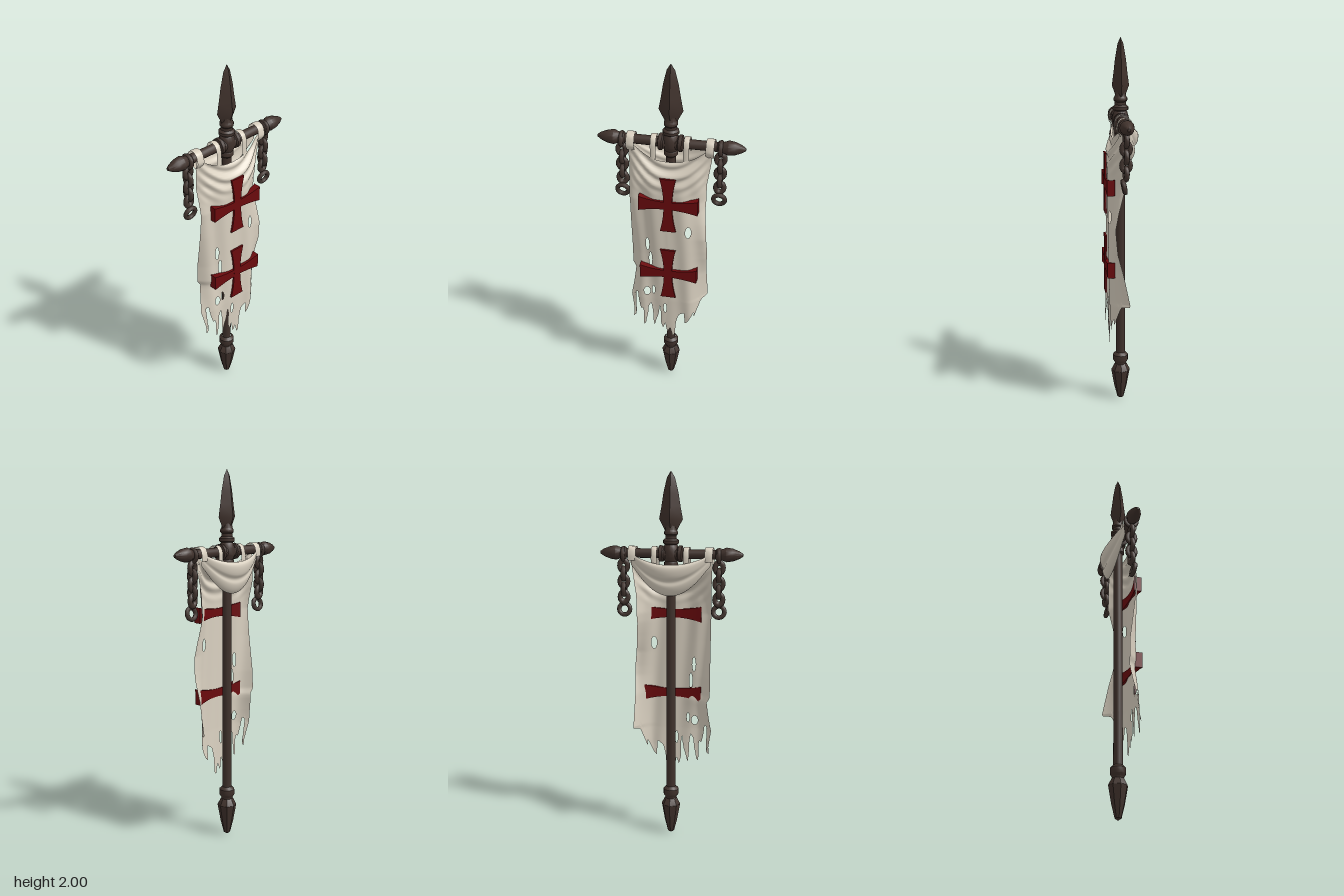
import * as THREE from 'three';
import { toCreasedNormals } from 'three/addons/utils/BufferGeometryUtils.js';

const makeMat = (name, color, side = THREE.FrontSide) => {
  const m = new THREE.MeshStandardMaterial({ color, side });
  m.name = name;
  return m;
};

// Linear lookup in a list of [t, value] pairs sorted by t
const lookup = (table, t) => {
  if (t <= table[0][0]) return table[0][1];
  for (let i = 1; i < table.length; i++) {
    const [a, va] = table[i - 1], [b, vb] = table[i];
    if (t <= b) return va + (vb - va) * (t - a) / (b - a);
  }
  return table[table.length - 1][1];
};

// Smooth sheet over u, v in 0..1; fn returns [x, y, z, cutAway]
function sheet(nu, nv, fn) {
  const pos = [], cut = [], index = [];
  for (let j = 0; j <= nv; j++) for (let i = 0; i <= nu; i++) {
    const [x, y, z, c] = fn(i / nu, j / nv);
    pos.push(x, y, z);
    cut.push(!!c);
  }
  for (let j = 0; j < nv; j++) for (let i = 0; i < nu; i++) {
    const a = j * (nu + 1) + i, b = a + 1, c = a + nu + 1, d = c + 1;
    if (cut[a] && cut[b] && cut[c] && cut[d]) continue;
    index.push(a, c, b, b, c, d);
  }
  const g = new THREE.BufferGeometry();
  g.setAttribute('position', new THREE.Float32BufferAttribute(pos, 3));
  g.setIndex(index);
  g.computeVertexNormals();
  return g;
}

// Turned part from [radius, height] pairs, listed bottom to top
const turned = (pts, sides = 12) => toCreasedNormals(
  new THREE.LatheGeometry(pts.map(p => new THREE.Vector2(...p)), sides), 0.6);

const BAR_Y = 1.575;

// Banner outline: side edges by height, ragged hem across the width
const LEFT = [[0.42, -0.205], [0.5, -0.2], [0.6, -0.217], [0.68, -0.205], [0.77, -0.195], [0.8, -0.212], [1.2, -0.21], [1.58, -0.218]];
const RIGHT = [[0.45, 0.165], [0.6, 0.205], [0.8, 0.2], [0.95, 0.205], [1.2, 0.185], [1.35, 0.188], [1.5, 0.212]];
const HEM = [[-0.2, 0.455], [-0.185, 0.47], [-0.178, 0.62], [-0.165, 0.63], [-0.155, 0.52], [-0.14, 0.53], [-0.132, 0.41],
  [-0.12, 0.42], [-0.108, 0.54], [-0.09, 0.57], [-0.08, 0.47], [-0.068, 0.4], [-0.05, 0.48], [-0.042, 0.57], [-0.03, 0.44],
  [-0.015, 0.39], [0, 0.43], [0.012, 0.36], [0.03, 0.4], [0.045, 0.34], [0.058, 0.35], [0.07, 0.5], [0.1, 0.52],
  [0.12, 0.44], [0.135, 0.45], [0.155, 0.53], [0.162, 0.48], [0.172, 0.6], [0.2, 0.61]];
const HOLES = [[0.105, 1.08, 0.015, 0.034], [-0.117, 0.97, 0.01, 0.04], [-0.1, 0.875, 0.009, 0.045],
  [-0.122, 0.65, 0.018, 0.026], [-0.085, 0.665, 0.008, 0.028], [-0.02, 0.545, 0.008, 0.035]];
// Depth of the middle and of both side edges by height
const MID_Z = [[0.34, 0.06], [0.6, 0.069], [1.36, 0.073], [1.42, 0.064], [1.5, 0.037], [1.58, 0.03]];
const LEFT_Z = [[0.42, 0.075], [0.6, 0.04], [0.75, 0.005], [0.9, 0.005], [1.1, 0.025], [1.25, 0.035], [1.4, 0.01], [1.58, 0.02]];
const RIGHT_Z = [[0.5, 0.01], [0.62, -0.028], [0.78, 0.002], [0.9, 0.03], [1.03, 0.04], [1.12, 0.022], [1.25, -0.013],
  [1.4, 0.0], [1.58, 0.02]];

function bannerPoint(u, v) {
  const s = u * 2 - 1;
  const top = 1.485 + 0.085 * s * s, mid = 0.68, split = 0.7;
  // level rows above, stretched into the ragged hem below
  let y = v < split ? top + (mid - top) * v / split
    : mid + (lookup(HEM, s * 0.2) - mid) * (v - split) / (1 - split);
  let x = lookup(LEFT, y) * (1 - u) + lookup(RIGHT, y) * u;
  let cut = false;
  // points inside a hole move out to its rim
  for (const [hx, hy, rx, ry] of HOLES) {
    const dx = (x - hx) / rx, dy = (y - hy) / ry, d = Math.hypot(dx, dy);
    if (d < 1) {
      cut = true;
      x = hx + rx * dx / (d || 1);
      y = hy + ry * dy / (d || 1);
    }
  }
  // the left side falls back gently, the right side curls near its edge
  const edgeZ = lookup(s < 0 ? LEFT_Z : RIGHT_Z, y), midZ = lookup(MID_Z, y);
  let z = midZ + (edgeZ - midZ) * Math.abs(s) ** (s < 0 ? 3 : 4.5);
  // sagging folds near the top, hanging folds below
  const swag = THREE.MathUtils.smoothstep(y, 1.28, 1.42);
  z += swag * 0.009 * Math.sin((y - 3.2 * x * x) * 95) * (1 - s ** 4);
  z += (1 - swag) * 0.007 * Math.sin(x * 48 + y * 4) * Math.min(1, Math.abs(s) * 1.6);
  return [x, y, z, cut];
}

// Swag behind the pole: its middle section, narrowing to the two corners
const swagCurve = new THREE.CatmullRomCurve3([[1.5, -0.058], [1.525, -0.072], [1.51, -0.09], [1.46, -0.086],
  [1.435, -0.07], [1.41, -0.074], [1.375, -0.062], [1.358, -0.045], [1.39, -0.032]]
  .map(([y, z]) => new THREE.Vector3(0, y, z)));
function swagPoint(u, v) {
  const s = u * 2 - 1, w = 1 - s * s, p = swagCurve.getPoint(v);
  const cornerY = 1.585 - 0.07 * v;
  return [-s * 0.21, cornerY + (p.y - cornerY) * w, -0.03 + 0.01 * v + (p.z + 0.03 - 0.01 * v) * w];
}

// Cloth loop over the crossbar
function strap(x, width, frontZ, low) {
  const pts = [[frontZ, low], [0.04, 1.55], [0.038, BAR_Y], [0.026, 1.602], [0, 1.612],
    [-0.026, 1.602], [-0.038, BAR_Y], [-0.04, 1.55], [-0.04, low + 0.02]];
  const curve = new THREE.CatmullRomCurve3(pts.map(([z, y]) => new THREE.Vector3(0, y, z)));
  return sheet(4, 32, (u, v) => {
    const p = curve.getPoint(v);
    return [x + (u - 0.5) * width, p.y, p.z + Math.sign(p.z) * 0.003 * Math.sin(u * Math.PI)];
  });
}

// Bar along x with flared ends, a flat front and a back that bends away by `bend`
function flaredBar(half, front, back, bend) {
  const g = new THREE.BoxGeometry(2, 2, 2, 14, 1, 1), p = g.attributes.position;
  for (let i = 0; i < p.count; i++) {
    const t = p.getX(i), flare = 0.022 + 0.02 * t * t;
    p.setXYZ(i, t * half, p.getY(i) * flare, p.getZ(i) > 0 ? front : back - bend * t * t);
  }
  return toCreasedNormals(g, 0.6);
}

export function createModel() {
  const model = new THREE.Group();
  model.name = 'hangingBanner';
  const wood = makeMat('dark wood', 0x40322c);
  const iron = makeMat('chain iron', 0x42352f);
  const cloth = makeMat('worn linen', 0xd9d0c0, THREE.DoubleSide);
  const red = makeMat('deep red', 0x6a0a0d);
  const add = (name, geo, mat, parent = model) => {
    const m = new THREE.Mesh(geo, mat);
    m.name = name;
    parent.add(m);
    return m;
  };

  // Pole with its spear head and pointed foot
  add('pole', turned([[0.025, 0.2], [0.025, 1.66]]), wood);
  add('spearHead', turned([[0.024, 1.68], [0.034, 1.7], [0.062, 1.755], [0.05, 1.82], [0.039, 1.89],
    [0.021, 1.965], [0, 2]], 4), wood).scale.z = 0.72;
  add('spearNeck', turned([[0.026, 1.62], [0.042, 1.63], [0.042, 1.645], [0.03, 1.655], [0.03, 1.67],
    [0.036, 1.678], [0.036, 1.69], [0.03, 1.7], [0.026, 1.73]]), wood);
  add('foot', turned([[0, 0], [0.018, 0.012], [0.035, 0.08], [0.052, 0.175], [0.034, 0.21], [0.024, 0.22]], 8), wood);
  add('footCollar', turned([[0.03, 0.19], [0.032, 0.22], [0.042, 0.235], [0.042, 0.265], [0.026, 0.28]]), wood);

  // Crossbar and the joint at its middle
  add('poleJoint', turned([[0.026, 1.5], [0.036, 1.51], [0.036, 1.53], [0.033, 1.535], [0.043, 1.56],
    [0.043, 1.595], [0.035, 1.62], [0.026, 1.63]]), wood);
  const bar = turned([[0.025, -0.25], [0.025, -0.065], [0.043, -0.06], [0.043, -0.042], [0.036, -0.036],
    [0.036, 0.036], [0.043, 0.042], [0.043, 0.06], [0.025, 0.065], [0.025, 0.25]]);
  bar.rotateZ(-Math.PI / 2);
  add('crossbar', bar, wood).position.y = BAR_Y;

  for (const side of [-1, 1]) {
    const label = side > 0 ? 'left' : 'right';
    const tip = turned([[0.024, 0.235], [0.033, 0.243], [0.034, 0.256], [0.028, 0.264], [0.031, 0.275],
      [0.038, 0.292], [0.033, 0.325], [0.02, 0.358], [0.008, 0.377], [0, 0.38]]);
    tip.rotateZ(-side * Math.PI / 2);
    add(label + 'BarTip', tip, wood).position.y = BAR_Y;

    // Chain hanging from the bar, ending in a round ring
    const chain = new THREE.Group();
    chain.name = label + 'Chain';
    chain.position.x = side * 0.254;
    model.add(chain);
    const loop = add('barRing', new THREE.TorusGeometry(0.031, 0.011, 8, 20), iron, chain);
    loop.position.y = BAR_Y - 0.006;
    loop.rotation.y = Math.PI / 2;
    for (let i = 0; i < 5; i++) {
      const link = add('link', new THREE.TorusGeometry(0.021, 0.0135, 8, 16), iron, chain);
      link.position.y = 1.507 - i * 0.042;
      link.rotation.y = i % 2 ? Math.PI / 2 : 0.15;
      link.scale.y = 1.25;
    }
    const ring = add('endRing', new THREE.TorusGeometry(0.03, 0.012, 8, 20), iron, chain);
    ring.position.set(0, 1.272, 0.01);
    ring.rotation.x = 0.2;

    // Cloth straps
    add(label + 'InnerStrap', strap(side * 0.085, 0.03, 0.042, 1.495), cloth);
    add(label + 'CornerStrap', strap(side * 0.203, 0.042, 0.02, 1.52), cloth);
  }

  // Torn banner and the swag behind the pole
  add('banner', sheet(110, 140, bannerPoint), cloth);
  add('backSwag', sheet(32, 32, swagPoint), cloth);

  // Two flared crosses; the arms show through to the back of the cloth
  for (const [name, y] of [['upperCross', 1.246], ['lowerCross', 0.803]]) {
    const cross = new THREE.Group();
    cross.name = name;
    cross.position.y = y;
    model.add(cross);
    add('crossArm', flaredBar(0.156, 0.086, 0.066, 0.021), red, cross);
    add('crossUpright', flaredBar(0.16, 0.087, 0.077, 0), red, cross).rotation.z = Math.PI / 2;
  }
  return model;
}
